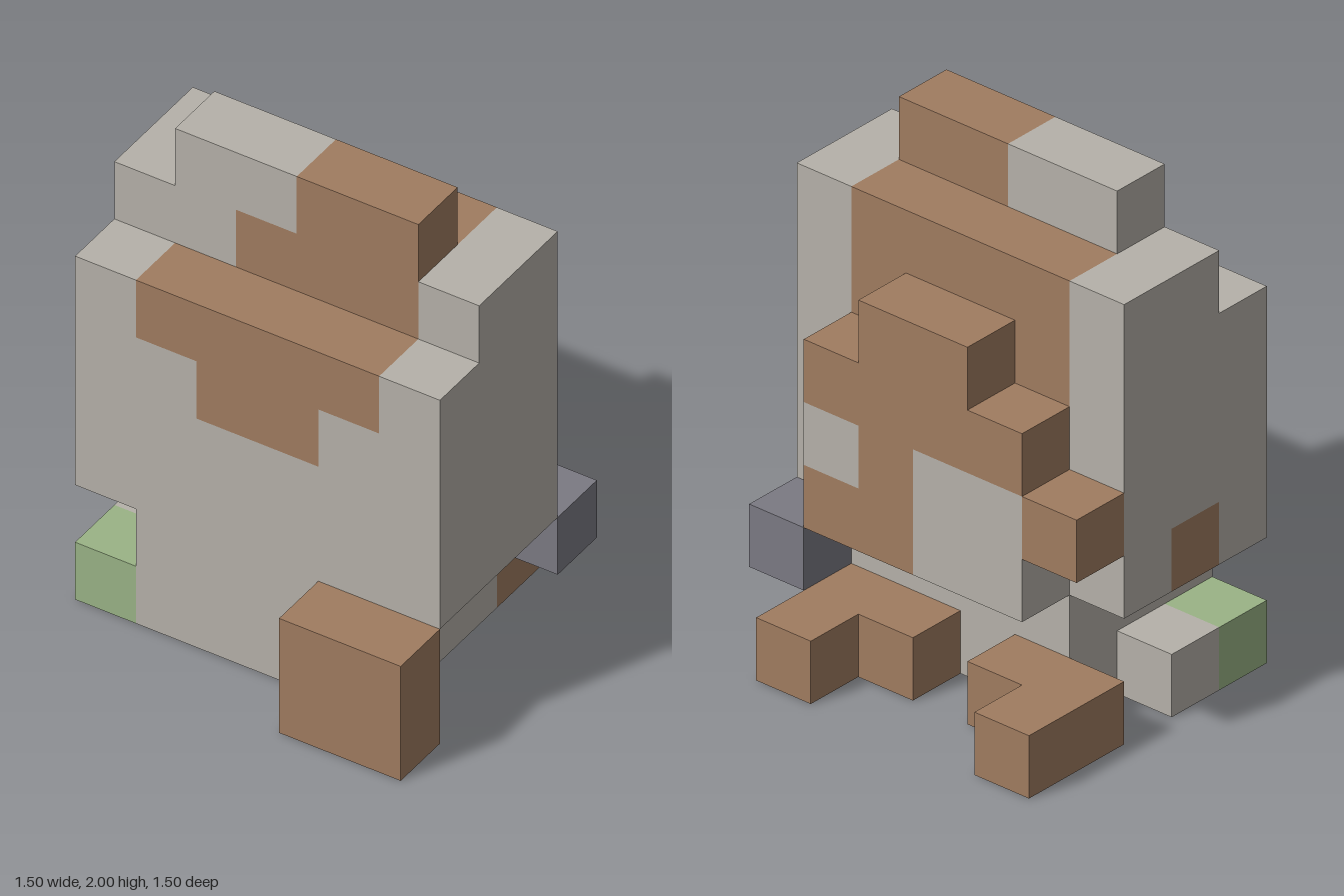
import * as THREE from 'three';
import { mergeGeometries } from 'three/addons/utils/BufferGeometryUtils.js';

const S = 0.25; // cell size
const colours = { stone: 0xb5b1a9, brown: 0xa07c60, moss: 0x9ab386, slate: 0x7b7a83 };

// part, colour, first and last cell in x, y and z; later blocks repaint earlier ones
const blocks = [
  // torso, stepped towards the top
  ['torso', 'stone', 0, 5, 2, 5, 2, 4],
  ['torso', 'stone', 0, 5, 6, 6, 2, 3],
  ['torso', 'brown', 1, 4, 3, 6, 2, 2],
  ['torso', 'brown', 2, 4, 6, 6, 3, 3],
  ['torso', 'brown', 1, 4, 5, 5, 4, 4],
  ['torso', 'brown', 2, 3, 4, 4, 4, 4],
  ['torso', 'brown', 0, 0, 2, 2, 3, 3],
  // top ridge
  ['ridge', 'stone', 1, 2, 7, 7, 3, 3],
  ['ridge', 'brown', 3, 4, 7, 7, 3, 3],
  // narrower base
  ['base', 'stone', 1, 4, 0, 1, 2, 4],
  ['sideStep', 'stone', 0, 0, 0, 0, 3, 3],
  ['sideStep', 'moss', 0, 0, 0, 0, 4, 4],
  ['frontBlock', 'brown', 4, 5, 0, 1, 5, 5],
  // hump on the back
  ['backHump', 'brown', 2, 3, 5, 5, 1, 1],
  ['backHump', 'brown', 1, 4, 2, 4, 1, 1],
  ['backHump', 'stone', 1, 2, 2, 3, 1, 1],
  ['backHump', 'stone', 4, 4, 3, 3, 1, 1],
  ['backHump', 'brown', 0, 0, 3, 3, 1, 1],
  ['slateBlock', 'slate', 5, 5, 1, 1, 1, 1],
  // L-shaped rear feet
  ['leftRearFoot', 'brown', 3, 4, 0, 0, 1, 1],
  ['leftRearFoot', 'brown', 4, 4, 0, 0, 0, 0],
  ['rightRearFoot', 'brown', 0, 1, 0, 0, 1, 1],
  ['rightRearFoot', 'brown', 0, 0, 0, 0, 0, 0],
];

const directions = [[1, 0, 0], [-1, 0, 0], [0, 1, 0], [0, -1, 0], [0, 0, 1], [0, 0, -1]];

// One square face of a cell, turned outwards
function cellFace([i, j, k], d) {
  const face = new THREE.PlaneGeometry(S, S);
  if (d[0]) face.rotateY(d[0] * Math.PI / 2);
  else if (d[1]) face.rotateX(-d[1] * Math.PI / 2);
  else if (d[2] < 0) face.rotateY(Math.PI);
  return face.translate(
    (i - 2.5 + d[0] / 2) * S,
    (j + 0.5 + d[1] / 2) * S,
    (k - 2.5 + d[2] / 2) * S,
  );
}

export function createModel() {
  const model = new THREE.Group();
  model.name = 'blockFigure';

  const materials = {};
  for (const [name, color] of Object.entries(colours)) {
    materials[name] = new THREE.MeshStandardMaterial({ color, side: THREE.DoubleSide });
    materials[name].name = name;
  }

  // Fill the grid
  const cells = new Map();
  for (const [part, colour, x0, x1, y0, y1, z0, z1] of blocks)
    for (let i = x0; i <= x1; i++)
      for (let j = y0; j <= y1; j++)
        for (let k = z0; k <= z1; k++)
          cells.set([i, j, k].join(), { part, colour, at: [i, j, k] });

  // Keep the outer faces only; the underside on the ground stays open
  const parts = {};
  for (const { part, colour, at } of cells.values())
    for (const d of directions) {
      const next = at.map((v, n) => v + d[n]);
      if (next[1] < 0 || cells.has(next.join())) continue;
      const byColour = (parts[part] ??= {});
      (byColour[colour] ??= []).push(cellFace(at, d));
    }

  // One group per part, one mesh per colour
  for (const [part, byColour] of Object.entries(parts)) {
    const group = new THREE.Group();
    group.name = part;
    for (const [colour, faces] of Object.entries(byColour)) {
      const mesh = new THREE.Mesh(mergeGeometries(faces), materials[colour]);
      mesh.name = `${part} ${colour}`;
      group.add(mesh);
    }
    model.add(group);
  }
  return model;
}
